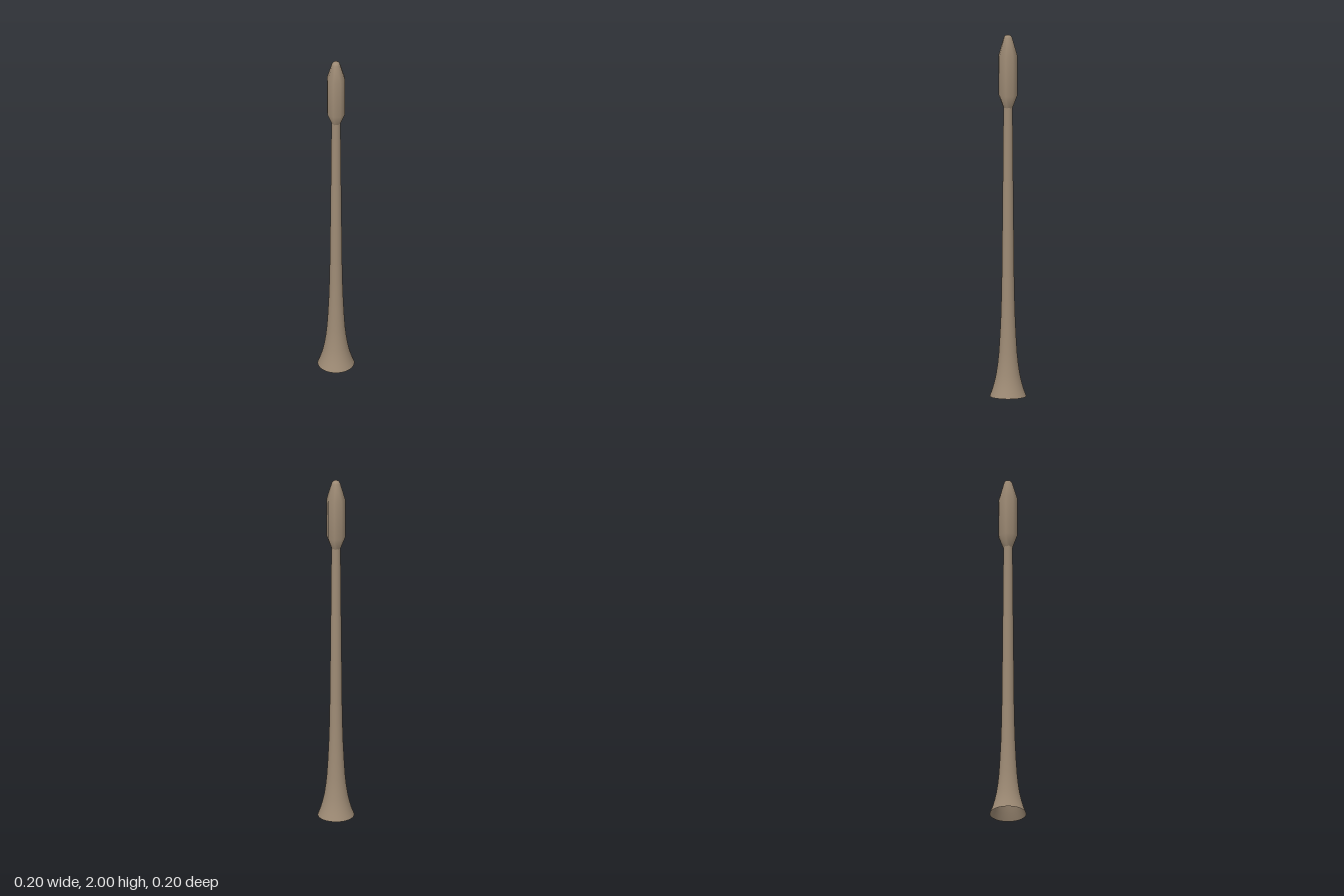
import * as THREE from 'three';

const lathe = (name, points, sides, material) => {
  const profile = points.map(([r, y]) => new THREE.Vector2(r, y));
  const mesh = new THREE.Mesh(new THREE.LatheGeometry(profile, sides), material);
  mesh.name = name;
  return mesh;
};

export function createModel() {
  const group = new THREE.Group();
  group.name = 'flaredHorn';
  const wood = new THREE.MeshStandardMaterial({ color: 0x9e8b75, side: THREE.DoubleSide });
  wood.name = 'tan wood';

  // Hollow bell flaring out to an open rim
  group.add(lathe('bell', [
    [0.1, 0], [0.085, 0.04], [0.074, 0.08], [0.065, 0.12], [0.056, 0.18],
    [0.05, 0.24], [0.045, 0.32], [0.04, 0.42], [0.036, 0.55], [0.034, 0.66],
  ], 32, wood));

  // Long, gently tapering tube
  group.add(lathe('tube', [[0.034, 0.66], [0.031, 0.95], [0.028, 1.25], [0.025, 1.6]], 32, wood));

  // Eight-sided mouthpiece: lower cone, straight barrel, upper cone, rounded tip
  group.add(lathe('mouthpiece', [
    [0.025, 1.595], [0.052, 1.665], [0.052, 1.89], [0.024, 1.985],
    [0.018, 1.995], [0.01, 1.999], [0, 2],
  ], 8, wood));

  return group;
}
